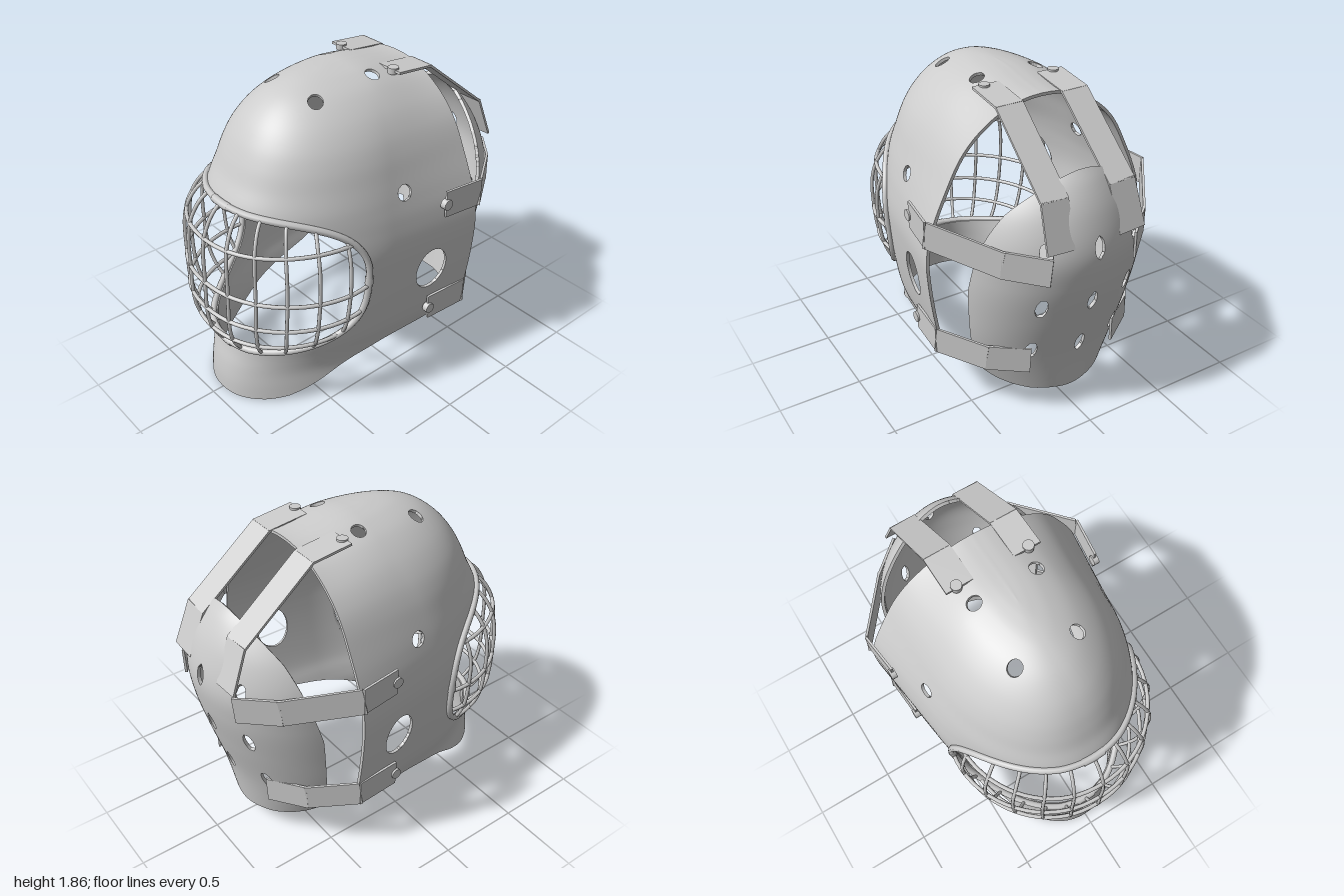
import * as THREE from 'three';
import { mergeVertices, mergeGeometries } from 'three/addons/utils/BufferGeometryUtils.js';

const grey = new THREE.MeshStandardMaterial({ color: 0xcccccc, side: THREE.DoubleSide });
grey.name = 'light grey';
const V = (x, y, z) => new THREE.Vector3(x, y, z);

// piecewise linear lookup in a short table of [key, value], keys rising
function lookup(table, k) {
  if (k <= table[0][0]) return table[0][1];
  for (let i = 1; i < table.length; i++) {
    const [a, va] = table[i - 1], [b, vb] = table[i];
    if (k <= b) return va + (vb - va) * (k - a) / (b - a);
  }
  return table[table.length - 1][1];
}

function normalAt(P, s, t) {
  const e = 0.003, t0 = Math.max(0, t - e), t1 = Math.min(1, t + e);
  const ds = P(s + e, t).sub(P(s - e, t)), dt = P(s, t1).sub(P(s, t0));
  return ds.cross(dt).normalize();
}

// thick sheet over a surface P(s,t), kept only where keep() > 0, with walls along every cut
function cutSheet(P, s0, s1, ns, nt, keep, thick) {
  const outer = [], inner = [], wall = [], grid = [];
  for (let j = 0; j <= nt; j++) for (let i = 0; i <= ns; i++) {
    const s = s0 + (s1 - s0) * i / ns, t = j / nt, p = P(s, t);
    grid.push({ p, n: normalAt(P, s, t), f: keep(p, s) });
  }
  const back = (v) => v.p.clone().addScaledVector(v.n, -thick);
  const tri = (...vs) => {
    const poly = [], cuts = [];
    vs.forEach((a, i) => {
      const b = vs[(i + 1) % 3];
      if (a.f > 0) poly.push(a);
      if ((a.f > 0) !== (b.f > 0)) {
        const k = a.f / (a.f - b.f);
        const c = { p: a.p.clone().lerp(b.p, k), n: a.n.clone().lerp(b.n, k).normalize() };
        poly.push(c);
        cuts.push(c);
      }
    });
    for (let i = 2; i < poly.length; i++) {
      outer.push(poly[0].p, poly[i - 1].p, poly[i].p);
      inner.push(back(poly[0]), back(poly[i]), back(poly[i - 1]));
    }
    if (cuts.length === 2) {
      const [a, b] = cuts, c = back(a), d = back(b);
      wall.push(a.p, c, b.p, b.p, c, d);
    }
  };
  for (let j = 0; j < nt; j++) for (let i = 0; i < ns; i++) {
    const k = j * (ns + 1) + i, a = grid[k], b = grid[k + 1], c = grid[k + ns + 2], d = grid[k + ns + 1];
    tri(a, b, c);
    tri(a, c, d);
  }
  return mergeGeometries([outer, inner, wall].map((pts) => {
    const g = mergeVertices(new THREE.BufferGeometry().setFromPoints(pts), 1e-4);
    g.computeVertexNormals();
    return g;
  }));
}

// shell rows: half width at the back, height, front depth
const rows = new THREE.CatmullRomCurve3([
  [0.595, -0.03, 0.93], [0.575, 0.1, 0.925], [0.57, 0.2, 0.91], [0.6, 0.3, 0.885], [0.64, 0.4, 0.87],
  [0.68, 0.6, 0.86], [0.71, 0.85, 0.85], [0.715, 1.0, 0.85], [0.69, 1.15, 0.85], [0.65, 1.26, 0.84],
  [0.585, 1.4, 0.77], [0.535, 1.5, 0.725], [0.475, 1.6, 0.67], [0.395, 1.7, 0.59], [0.285, 1.79, 0.47],
  [0.17, 1.843, 0.32], [0.08, 1.863, 0.16], [0.00003, 1.868, 0.02]].map((a) => V(...a)));

// s = 0 is the front centre line, |s| = 1 where the straight sides begin, |s| = 1.6 the back edge
function shell(s, t) {
  const r = rows.getPointAt(t), m = Math.abs(s);
  const phi = (1 - Math.min(m, 1)) * Math.PI / 2;
  const q = m < 1 ? 0.45 + 0.55 * Math.sin(phi) : 0.45 * (1 - (m - 1) / 0.6);
  const taper = 0.24 - 0.17 * THREE.MathUtils.smoothstep(r.y, 1.1, 1.65);
  const x = Math.sign(s) * r.x * (1 - taper * q) * Math.cos(phi) ** 0.9, z = -0.42 + q * (r.z + 0.42);
  const dip = 0.045 * THREE.MathUtils.smoothstep(-z, 0, 0.42) * THREE.MathUtils.smoothstep(r.y, 1.5, 1.86);
  return V(x, r.y - dip, z);
}

// face opening: a rounded outline in (s, height)
const D = 0.86, H = 0.46, MID = 0.82;
const ring = (s, y) => Math.cbrt(Math.abs(s / D) ** 3 + Math.abs((y - MID) / H) ** 3);
const bottomEdge = [[-0.42, 0.47], [-0.4, 0.415], [-0.36, 0.385], [-0.3, 0.36], [-0.24, 0.335], [-0.15, 0.31],
  [0, 0.288], [0.1, 0.272], [0.2, 0.25], [0.3, 0.222], [0.4, 0.18], [0.5, 0.125], [0.6, 0.075],
  [0.7, 0.035], [0.8, 0.015], [0.95, 0.002]];

function keepShell(p, s) {
  const ax = Math.abs(p.x);
  let f = Math.min((ring(s, p.y) - 1) * 0.4, p.y - lookup(bottomEdge, p.z), p.z + 0.42);
  if (p.y > 1.5) for (const z of [-0.07, 0.33]) f = Math.min(f, Math.hypot(ax - 0.19, p.z - z) - 0.042);
  else if (ax > 0.4) {
    f = Math.min(f, Math.hypot(p.z - 0.04, p.y - 1.3) - 0.045);
    f = Math.min(f, (Math.hypot((p.z + 0.13) / 0.105, (p.y - 0.75) / 0.14) - 1) * 0.12);
  }
  return f;
}

// back plate: half width, height, centre depth
const plateRows = new THREE.CatmullRomCurve3([
  [0.45, 0.1, -0.785], [0.55, 0.4, -0.84], [0.57, 0.7, -0.925], [0.57, 0.95, -0.985], [0.56, 1.13, -1.0],
  [0.5, 1.33, -0.95], [0.39, 1.48, -0.87], [0.3, 1.57, -0.79]].map((a) => V(...a)));
// front edge of the back plate: height to depth
const plateEdge = [[0.125, -0.79], [0.15, -0.7], [0.185, -0.6], [0.23, -0.53], [0.28, -0.495], [0.33, -0.485],
  [0.45, -0.53], [0.65, -0.55], [0.85, -0.57], [1.1, -0.64], [1.35, -0.71], [1.55, -0.81]];
function plate(a, t) {
  const r = plateRows.getPointAt(t);
  return V(-r.x * Math.sin(a), r.y, r.z + 0.55 * (1 - Math.cos(a)));
}
function keepPlate(p) {
  let f = Math.min(lookup(plateEdge, p.y) - p.z, 1.55 - p.y, p.y - 0.125);
  for (const x of [-0.28, 0, 0.28]) for (const y of [0.48, 0.82, 1.17])
    f = Math.min(f, (Math.hypot((p.x - x) / 0.03, (p.y - y) / 0.068) - 1) * 0.04);
  return f;
}

// point on the cage, which bulges out of the face opening
function cagePoint(s, y) {
  let lo = 0, hi = 1;
  for (let i = 0; i < 24; i++) {
    const m = (lo + hi) / 2;
    if (rows.getPointAt(m).y < y) lo = m; else hi = m;
  }
  const r = Math.min(1, ring(s, y));
  return shell(s, lo).addScaledVector(normalAt(shell, s, lo), 0.008 + 0.125 * (1 - r ** 4));
}

export function createModel() {
  const model = new THREE.Group();
  const add = (name, geo, parent = model) => {
    const m = new THREE.Mesh(geo, grey);
    m.name = name;
    parent.add(m);
    return m;
  };
  const group = (name) => {
    const g = new THREE.Group();
    g.name = name;
    model.add(g);
    return g;
  };

  add('maskShell', cutSheet(shell, -1.63, 1.63, 132, 110, keepShell, 0.018));
  add('backPlate', cutSheet(plate, -1.56, 1.56, 64, 64, keepPlate, 0.02));

  // wire cage
  const cage = group('faceCage');
  const bar = (name, pts, radius, closed = false) =>
    add(name, new THREE.TubeGeometry(new THREE.CatmullRomCurve3(pts, closed), closed ? 120 : 36, radius, 8, closed), cage);
  const pow = (c) => Math.sign(c) * Math.abs(c) ** (2 / 3);
  const rimPoint = (a) => cagePoint(D * pow(Math.cos(a)), MID + H * pow(Math.sin(a)));
  const rim = [];
  for (let i = 0; i < 64; i++) rim.push(rimPoint(i / 64 * Math.PI * 2));
  bar('cageRim', rim, 0.02, true);
  for (let i = -5; i <= 5; i++) {
    const s = i * 0.15, h = H * Math.cbrt(1 - Math.abs(s / D) ** 3), pts = [];
    for (let k = -9; k <= 9; k++) pts.push(cagePoint(s, MID + h * Math.sin(k / 18 * Math.PI)));
    bar('verticalBar', pts, 0.011);
  }
  for (const y of [0.485, 0.635, 0.815, 1.105]) {
    const w = D * Math.cbrt(1 - Math.abs((y - MID) / H) ** 3), pts = [];
    for (let k = -12; k <= 12; k++) pts.push(cagePoint(w * Math.sin(k / 24 * Math.PI), y));
    bar('horizontalBar', pts, 0.012);
  }
  // sleeves around the cage rim
  for (const y of [MID + H, MID - H])
    bar('rimSleeve', [-0.065, 0, 0.065].map((s) => cagePoint(s, y)), 0.024);
  for (const s of [-D, D])
    bar('rimSleeve', [-0.025, 0, 0.025].map((dy) => cagePoint(s, MID + 0.03 + dy)), 0.024);

  // straps: flat boxes laid along a path, wide along the given direction
  const straps = group('straps');
  function strap(name, pts, width, across) {
    for (let i = 1; i < pts.length; i++) {
      const a = pts[i - 1], b = pts[i], dir = b.clone().sub(a), len = dir.length();
      dir.normalize();
      const n = dir.clone().cross(across).normalize(), w = n.clone().cross(dir);
      const m = add(name, new THREE.BoxGeometry(len + 0.008, width, 0.014), straps);
      m.quaternion.setFromRotationMatrix(new THREE.Matrix4().makeBasis(dir, w, n));
      m.position.copy(a).add(b).multiplyScalar(0.5);
    }
  }
  const bolt = (p, axis) => {
    const m = add('bolt', new THREE.CylinderGeometry(0.032, 0.032, 0.035, 14), straps);
    m.position.copy(p);
    m.quaternion.setFromUnitVectors(V(0, 1, 0), axis);
  };
  const up = V(0, 1, 0);
  for (const d of [1, -1]) {
    strap('upperSideStrap', [V(d * 0.69, 1.18, -0.19), V(d * 0.72, 1.18, -0.43), V(d * 0.46, 1.1, -0.78),
      V(d * 0.27, 1.08, -0.95)], 0.165, up);
    strap('lowerSideStrap', [V(d * 0.645, 0.45, -0.14), V(d * 0.668, 0.46, -0.41), V(d * 0.48, 0.42, -0.65),
      V(d * 0.28, 0.41, -0.785)], 0.16, up);
    strap('topStrap', [V(d * 0.205, 1.83, -0.19), V(d * 0.205, 1.805, -0.43), V(d * 0.21, 1.45, -0.87),
      V(d * 0.225, 1.2, -0.965)], 0.165, V(1, 0, 0));
    bolt(V(d * 0.692, 1.18, -0.19), V(1, 0, 0));
    bolt(V(d * 0.648, 0.45, -0.14), V(1, 0, 0));
    bolt(V(d * 0.22, 1.828, -0.2), up);
  }
  return model;
}
